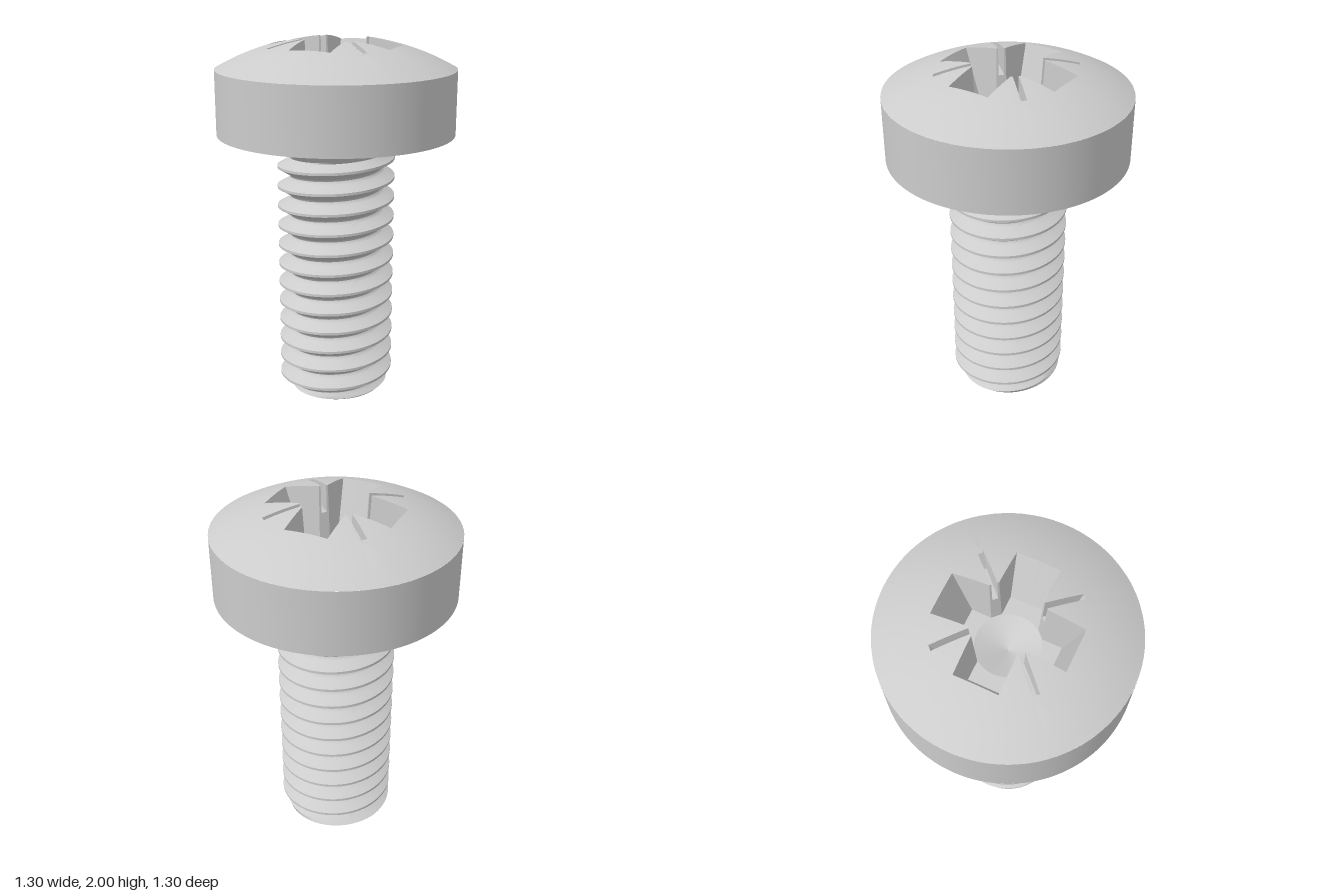
import * as THREE from 'three';
import { toCreasedNormals } from 'three/addons/utils/BufferGeometryUtils.js';

const HEAD_R = 0.65, HEAD_BOTTOM = 1.49, FLOOR_Y = 1.68, GROOVE_Y = 1.85;
const DOME_R = 1.328, DOME_C = 2.01 - DOME_R;
const PITCH = 0.1128, CREST = 0.055;

const material = new THREE.MeshStandardMaterial({ color: 0xcccccc });
const domeY = (x, w) => DOME_C + Math.sqrt(DOME_R * DOME_R - x * x - w * w);

function addMesh(group, name, geometry) {
  const mesh = new THREE.Mesh(geometry, material);
  mesh.name = name;
  group.add(mesh);
}

// Smooth surface from a grid of points: rows[i][j]
function gridGeometry(rows, crease) {
  const pos = [], index = [], n = rows[0].length;
  rows.forEach((row) => row.forEach((p) => pos.push(p.x, p.y, p.z)));
  for (let i = 0; i < rows.length - 1; i++) {
    for (let j = 0; j < n - 1; j++) {
      const a = i * n + j, b = a + 1, d = a + n, c = d + 1;
      index.push(a, b, c, a, c, d);
    }
  }
  const g = new THREE.BufferGeometry();
  g.setAttribute('position', new THREE.Float32BufferAttribute(pos, 3));
  g.setIndex(index);
  return toCreasedNormals(g, crease);
}

// Thread: radius at a height, given the height above the nearest crest
function shankRadius(y, phi) {
  const turns = (y - CREST) / PITCH - phi / (2 * Math.PI);
  const d = Math.abs(turns - Math.round(turns));
  const flank = 0.325 - Math.max(0, d - 0.0625) * PITCH * 1.732;
  let r = d < 0.36 ? flank : 0.254 + 0.013 * ((0.5 - d) / 0.14) ** 2;
  // Fillet under the head
  if (y > 1.36) {
    const neck = y < 1.43 ? 0.255 + 0.06 * (y - 1.36) / 0.07 : 0.315 + 0.03 * ((y - 1.43) / 0.06) ** 2;
    r = Math.max(r, neck);
  }
  // Chamfer at the tip
  return Math.min(r, 0.27 + y);
}

function shankGeometry() {
  const steps = [-0.0625, 0.0625, 0.21, 0.36, 0.43, 0.5, 0.57, 0.64, 0.79];
  const segments = 72, rows = [];
  const makeRow = (yAt, rAt) => Array.from({ length: segments + 1 }, (_, i) => {
    const phi = i / segments * Math.PI * 2;
    const y = yAt(phi), r = rAt(y, phi);
    return new THREE.Vector3(-Math.cos(phi) * r, y, Math.sin(phi) * r);
  });
  // Tip face, then the helical rows trimmed at both ends
  rows.push(makeRow(() => 0, () => 0));
  rows.push(makeRow(() => 0, shankRadius));
  for (let k = -2; k <= 13; k++) {
    for (const s of steps) {
      rows.push(makeRow((phi) => THREE.MathUtils.clamp(
        CREST + (k + s + phi / (2 * Math.PI)) * PITCH, 0, HEAD_BOTTOM), shankRadius));
    }
  }
  return gridGeometry(rows, 0.77);
}

// Plan point (x to the right, w to the back) turned by quarter turns
function turned([x, w], q) {
  for (let i = 0; i < q; i++) [x, w] = [-w, x];
  return [x, w];
}
const at = ([x, w], y) => new THREE.Vector3(x, y, -w);
const diagonal = (r, t) => [(r - t) * Math.SQRT1_2, (r + t) * Math.SQRT1_2];

export function createModel() {
  const screw = new THREE.Group();
  screw.name = 'screw';

  addMesh(screw, 'threadedShank', shankGeometry());

  // Underside and cylindrical side of the head
  const side = [[0.32, HEAD_BOTTOM], [HEAD_R, HEAD_BOTTOM], [HEAD_R, domeY(HEAD_R, 0)]];
  addMesh(screw, 'headSide', toCreasedNormals(
    new THREE.LatheGeometry(side.map((p) => new THREE.Vector2(...p)), 128), 0.6));

  // Recess walls and the outline they cut in the dome
  const outline = [], walls = [], floorOutline = [];
  const quad = (a, b, c, d) => [a, b, c, a, c, d].forEach((p) => walls.push(p.x, p.y, p.z));
  const mix = (a, b, t) => [a[0] + (b[0] - a[0]) * t, a[1] + (b[1] - a[1]) * t];

  for (let q = 0; q < 4; q++) {
    const T = (p) => turned(p, q);
    const wall = (a, b, a2, b2, bottomY, n) => {
      for (let i = 0; i < n; i++) {
        const p = T(mix(a, b, i / n)), p1 = T(mix(a, b, (i + 1) / n));
        const s = T(mix(a2, b2, i / n)), s1 = T(mix(a2, b2, (i + 1) / n));
        outline.push(p);
        quad(at(p, domeY(...p)), at(p1, domeY(...p1)), at(s1, bottomY), at(s, bottomY));
      }
    };
    // Arm of the cross: top corners and floor corners
    const e0 = [0.345, -0.115], e1 = [0.345, 0.115], f0 = [0.245, -0.1], f1 = [0.245, 0.1];
    const a = [0.15, 0.115], b = [0.115, 0.15], a2 = [0.14, 0.1], b2 = [0.1, 0.14];
    const a0 = [0.15, -0.115], a02 = [0.14, -0.1];
    // Narrow diagonal groove, open towards the cross
    const h = 0.015, rTop = 0.265 * Math.SQRT1_2, rLow = 0.24 * Math.SQRT1_2;
    const k = (domeY(rTop, 0) - GROOVE_Y) / (domeY(rTop, 0) - FLOOR_Y);
    const rMid = rTop + (rLow - rTop) * k;
    const [m1, m2] = [diagonal(rTop, -h), diagonal(rTop, h)];
    const [l1, l2] = [diagonal(rLow, -h), diagonal(rLow, h)];
    const [n1, n2] = [diagonal(rMid, -h), diagonal(rMid, h)];
    const [g1, g2] = [diagonal(0.382, -h), diagonal(0.382, h)];
    const [k1, k2] = [diagonal(0.35, -h), diagonal(0.35, h)];

    wall(a0, e0, a02, f0, FLOOR_Y, 5);
    wall(e0, e1, f0, f1, FLOOR_Y, 8);
    wall(e1, a, f1, a2, FLOOR_Y, 5);
    wall(a, m1, a2, l1, FLOOR_Y, 1);
    wall(m1, g1, n1, k1, GROOVE_Y, 4);
    wall(g1, g2, k1, k2, GROOVE_Y, 1);
    wall(g2, m2, k2, n2, GROOVE_Y, 4);
    wall(m2, b, l2, b2, FLOOR_Y, 1);
    const flat = (y, ...pts) => pts.map((p) => at(T(p), y));
    quad(...flat(GROOVE_Y, n1, k1, k2, n2));
    quad(...flat(GROOVE_Y, n1, n2), ...flat(FLOOR_Y, l2, l1));
    floorOutline.push(...[a02, f0, f1, a2].map(T));
  }
  const wallGeometry = new THREE.BufferGeometry();
  wallGeometry.setAttribute('position', new THREE.Float32BufferAttribute(walls, 3));
  wallGeometry.computeVertexNormals();
  addMesh(screw, 'recessWalls', wallGeometry);

  // Dome from the recess outline out to the rim
  const domeRows = [...outline, outline[0]].map(([x, w]) => {
    const r = Math.hypot(x, w);
    return Array.from({ length: 11 }, (_, j) => {
      const s = (r + (HEAD_R - r) * j / 10) / r;
      return at([x * s, w * s], domeY(x * s, w * s));
    });
  });
  addMesh(screw, 'headDome', gridGeometry(domeRows, 0.6));

  // Recess floor with a shallow conical centre
  const floor = new THREE.Shape(floorOutline.map((p) => new THREE.Vector2(...p)));
  const hole = new THREE.Path();
  hole.absarc(0, 0, 0.168, 0, Math.PI * 2, true);
  floor.holes.push(hole);
  addMesh(screw, 'recessFloor',
    new THREE.ShapeGeometry(floor, 32).rotateX(-Math.PI / 2).translate(0, FLOOR_Y, 0));
  addMesh(screw, 'recessCone', new THREE.LatheGeometry(
    [new THREE.Vector2(0.168, FLOOR_Y), new THREE.Vector2(0, FLOOR_Y - 0.06)], 64));

  return screw;
}
